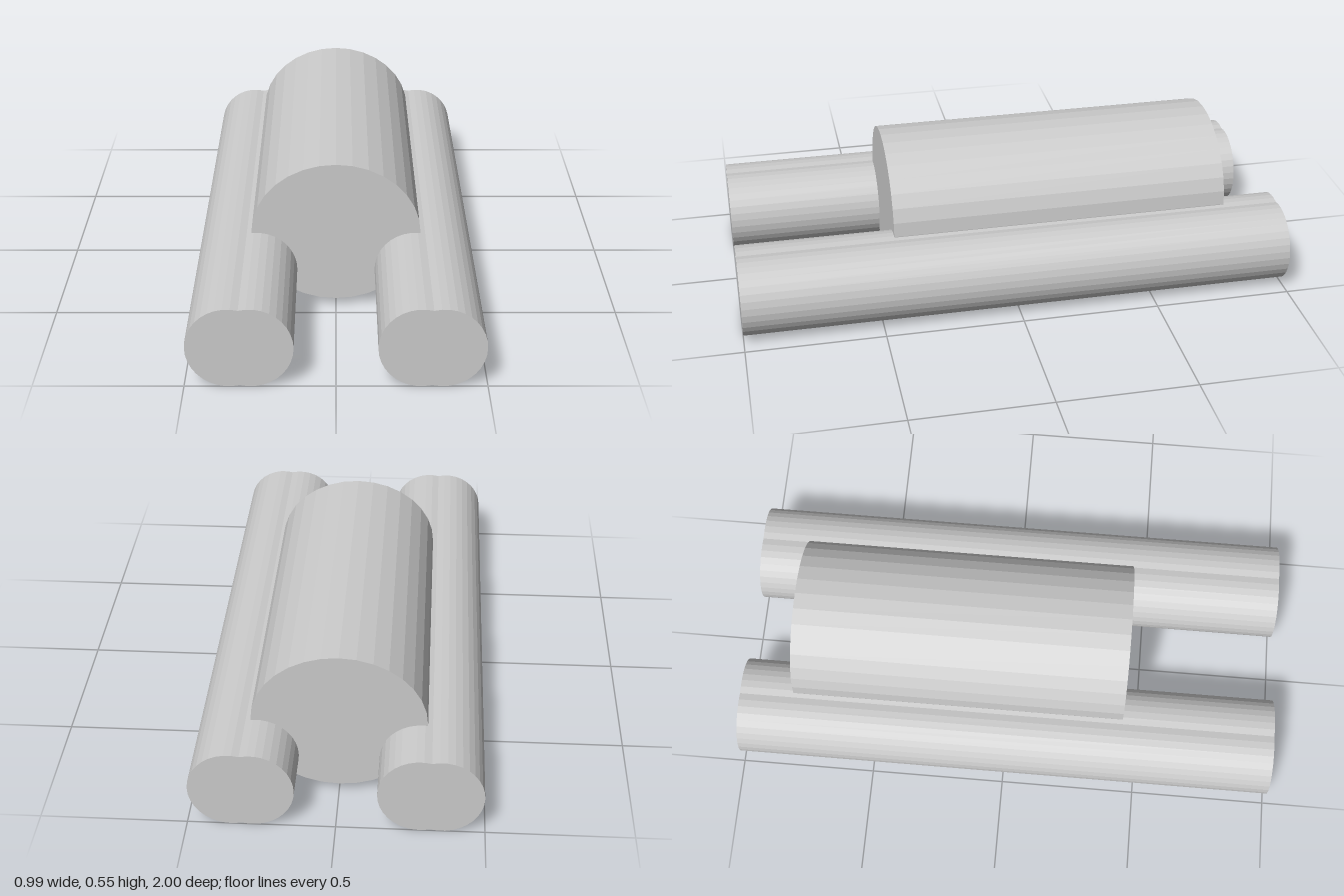
import * as THREE from 'three';

const material = new THREE.MeshStandardMaterial({ color: 0xcccccc, flatShading: true });

// Extrude a front-facing outline between two depths
function prism(name, shape, zBack, zFront, curveSegments) {
  const geometry = new THREE.ExtrudeGeometry(shape, {
    depth: zFront - zBack,
    bevelEnabled: false,
    curveSegments,
  });
  geometry.translate(0, 0, zBack);
  const mesh = new THREE.Mesh(geometry, material);
  mesh.name = name;
  return mesh;
}

export function createModel() {
  const model = new THREE.Group();
  model.name = 'twinRailBody';

  // Main body: a long elliptical barrel
  const ellipse = new THREE.Shape();
  ellipse.absellipse(0, 0.288, 0.3, 0.262, 0, Math.PI * 2, false);
  model.add(prism('body', ellipse, -0.8, 0.435, 16));

  // Side rails: outline of two overlapping circles, notched where they meet
  const radius = 0.143, half = 0.0355, y = 0.1445;
  const notch = Math.acos(half / radius);
  for (const [name, x] of [['leftRail', 0.3165], ['rightRail', -0.3165]]) {
    const outline = new THREE.Shape();
    outline.absarc(x + half, y, radius, notch - Math.PI, Math.PI - notch, false);
    outline.absarc(x - half, y, radius, notch, Math.PI * 2 - notch, false);
    model.add(prism(name, outline, -1, 1, 10));
  }
  return model;
}
